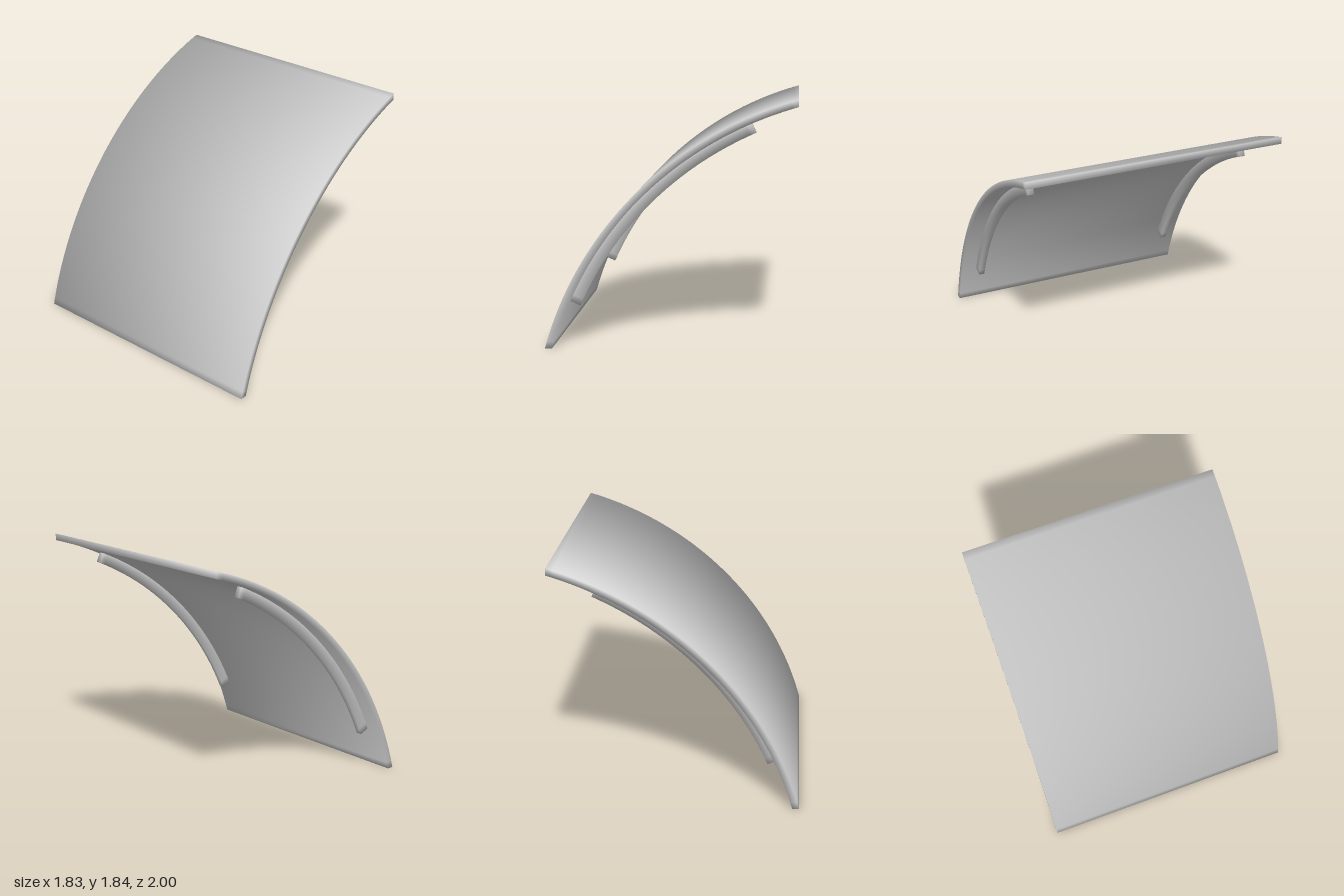
import * as THREE from 'three';

// Arc shared by the panel and its ribs (angles measured up from -x)
const CX = 1.631, CY = -0.711;
const OUTER = 2.648, INNER = 2.598, RIB = 2.518;

// Box bent around the arc, with normals blended softly across its edges.
// startAt / endAt give the end angles for a radius, so the ends can be cut at a slant.
function bentBox(rIn, rOut, z0, z1, startAt, endAt, segments) {
  const corners = [[rOut, z1, 1, 1], [rIn, z1, -1, 1], [rIn, z0, -1, -1], [rOut, z0, 1, -1]];
  const positions = [], normals = [], index = [];
  const n = new THREE.Vector3();
  for (let j = 0; j <= segments; j++) {
    const end = j === 0 ? -1 : j === segments ? 1 : 0;
    for (const [r, z, nr, nz] of corners) {
      const a = THREE.MathUtils.lerp(startAt(r), endAt(r), j / segments);
      const c = Math.cos(a), s = Math.sin(a);
      positions.push(CX - r * c, CY + r * s, z);
      n.set(-c * nr + s * end, s * nr + c * end, nz).normalize();
      normals.push(n.x, n.y, n.z);
    }
  }
  for (let j = 0; j < segments; j++) {
    for (let i = 0; i < 4; i++) {
      const a = j * 4 + i, b = j * 4 + (i + 1) % 4;
      index.push(a, b, b + 4, a, b + 4, a + 4);
    }
  }
  const e = segments * 4;
  index.push(0, 3, 2, 0, 2, 1, e, e + 1, e + 2, e, e + 2, e + 3);
  const geometry = new THREE.BufferGeometry();
  geometry.setAttribute('position', new THREE.Float32BufferAttribute(positions, 3));
  geometry.setAttribute('normal', new THREE.Float32BufferAttribute(normals, 3));
  geometry.setIndex(index);
  return geometry;
}

export function createModel() {
  const model = new THREE.Group();
  model.name = 'curvedPanel';
  const material = new THREE.MeshStandardMaterial({ color: 0xcccccc });
  const add = (name, geometry) => {
    const mesh = new THREE.Mesh(geometry, material);
    mesh.name = name;
    model.add(mesh);
  };

  // Curved sheet: lower edge cut level at y = 0, upper edge cut upright
  add('panel', bentBox(INNER, OUTER, -1, 1,
    r => Math.asin(-CY / r),
    r => Math.acos((CX - 0.915) / r), 48));

  // Thin ribs under the sheet, near the front and back edges
  const from = THREE.MathUtils.degToRad(23.7), to = THREE.MathUtils.degToRad(66.2);
  for (const [name, z] of [['frontRib', 0.852], ['backRib', -0.852]]) {
    add(name, bentBox(RIB, INNER + 0.01, z - 0.023, z + 0.023, () => from, () => to, 36));
  }
  return model;
}
